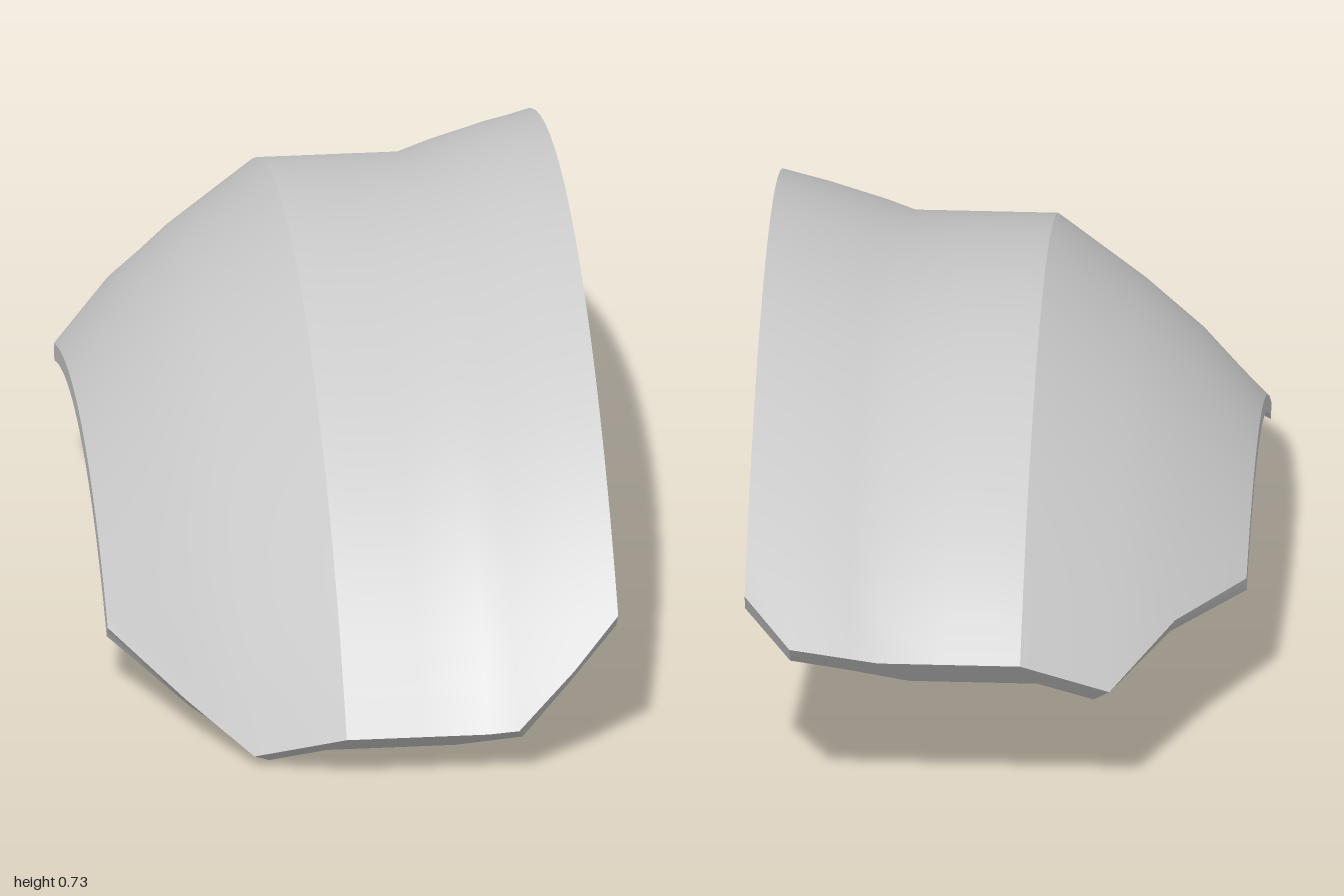
import * as THREE from 'three';
import { toCreasedNormals } from 'three/addons/utils/BufferGeometryUtils.js';

// The shell is a cross-section swept round an axis parallel to x.
const AXIS_Y = -0.684, AXIS_Z = -0.12, ROWS = 24;
const GROOVE = 4, GROOVE_DEPTH = 0.045; // column where the inner groove starts

// outer x, outer radius, inner x, inner radius, back angle, front angle (degrees)
const COLUMNS = [
  [-0.45, 1.024, -0.45, 0.993, -19.6, 37.8],
  [-0.33, 1.145, -0.32, 1.107, -29.7, 48.5],
  [-0.22, 1.235, -0.19, 1.199, -39.2, 55.1],
  [-0.06, 1.347, -0.09, 1.268, -39.2, 55.1],
  [-0.02, 1.347, -0.02, 1.268, -39.2, 55.1],
  [0.08, 1.347, 0.08, 1.268, -39.2, 55.1],
  [0.2, 1.347, 0.145, 1.268, -39.2, 55.1],
  [0.255, 1.366, 0.265, 1.318, -39.2, 55.1],
  [0.36, 1.396, 0.36, 1.346, -39.1, 50.9],
  [0.445, 1.417, 0.445, 1.369, -35.2, 47],
];
const LAST = COLUMNS.length - 1;

function point(x, r, column, row) {
  const [, , , , back, front] = COLUMNS[column];
  const a = THREE.MathUtils.degToRad(back + (front - back) * row / ROWS);
  return [x, AXIS_Y + r * Math.cos(a), AXIS_Z + r * Math.sin(a)];
}
const outer = (c, row) => point(COLUMNS[c][0], COLUMNS[c][1], c, row);
const inner = (c, row, lift = 0) => point(COLUMNS[c][2], COLUMNS[c][3] + lift, c, row);

// Grid of quads over f(u, v); it faces along dv x du, or the other way if flipped
function sheet(out, u0, u1, v0, v1, f, flip = false) {
  for (let u = u0; u < u1; u++) {
    for (let v = v0; v < v1; v++) {
      const q = [f(u, v), f(u, v + 1), f(u + 1, v + 1), f(u + 1, v)];
      if (flip) q.reverse();
      for (const k of [0, 1, 2, 0, 2, 3]) out.push(...q[k]);
    }
  }
}

function makeMesh(name, positions, material) {
  const geometry = new THREE.BufferGeometry();
  geometry.setAttribute('position', new THREE.Float32BufferAttribute(positions, 3));
  const mesh = new THREE.Mesh(toCreasedNormals(geometry, 0.5), material);
  mesh.name = name;
  return mesh;
}

export function createModel() {
  const group = new THREE.Group();
  group.name = 'curvedShell';
  const material = new THREE.MeshStandardMaterial({ color: 0xcccccc });

  // Outer skin
  const skin = [];
  sheet(skin, 0, LAST, 0, ROWS, outer);
  group.add(makeMesh('outerSkin', skin, material));

  // Inner lining, left open where the groove runs
  const lining = [];
  sheet(lining, 0, GROOVE, 0, ROWS, inner, true);
  sheet(lining, GROOVE + 1, LAST, 0, ROWS, inner, true);
  sheet(lining, GROOVE, GROOVE + 1, 0, 1, inner, true);
  sheet(lining, GROOVE, GROOVE + 1, ROWS - 1, ROWS, inner, true);
  group.add(makeMesh('innerLining', lining, material));

  // Rim: front and back ends, then both long sides
  const rim = [];
  const across = (row) => (c, k) => (k ? outer(c, row) : inner(c, row));
  const along = (c) => (k, row) => (k ? outer(c, row) : inner(c, row));
  sheet(rim, 0, LAST, 0, 1, across(ROWS), true);
  sheet(rim, 0, LAST, 0, 1, across(0));
  sheet(rim, 0, 1, 0, ROWS, along(0));
  sheet(rim, 0, 1, 0, ROWS, along(LAST), true);
  group.add(makeMesh('rim', rim, material));

  // Groove: ceiling, side walls and end walls
  const groove = [];
  const a = 1, b = ROWS - 1;
  const wall = (c) => (k, row) => inner(c, row, k * GROOVE_DEPTH);
  const end = (row) => (c, k) => inner(c, row, k * GROOVE_DEPTH);
  sheet(groove, GROOVE, GROOVE + 1, a, b, (c, row) => inner(c, row, GROOVE_DEPTH), true);
  sheet(groove, 0, 1, a, b, wall(GROOVE), true);
  sheet(groove, 0, 1, a, b, wall(GROOVE + 1));
  sheet(groove, GROOVE, GROOVE + 1, 0, 1, end(a), true);
  sheet(groove, GROOVE, GROOVE + 1, 0, 1, end(b));
  group.add(makeMesh('innerGroove', groove, material));

  return group;
}
